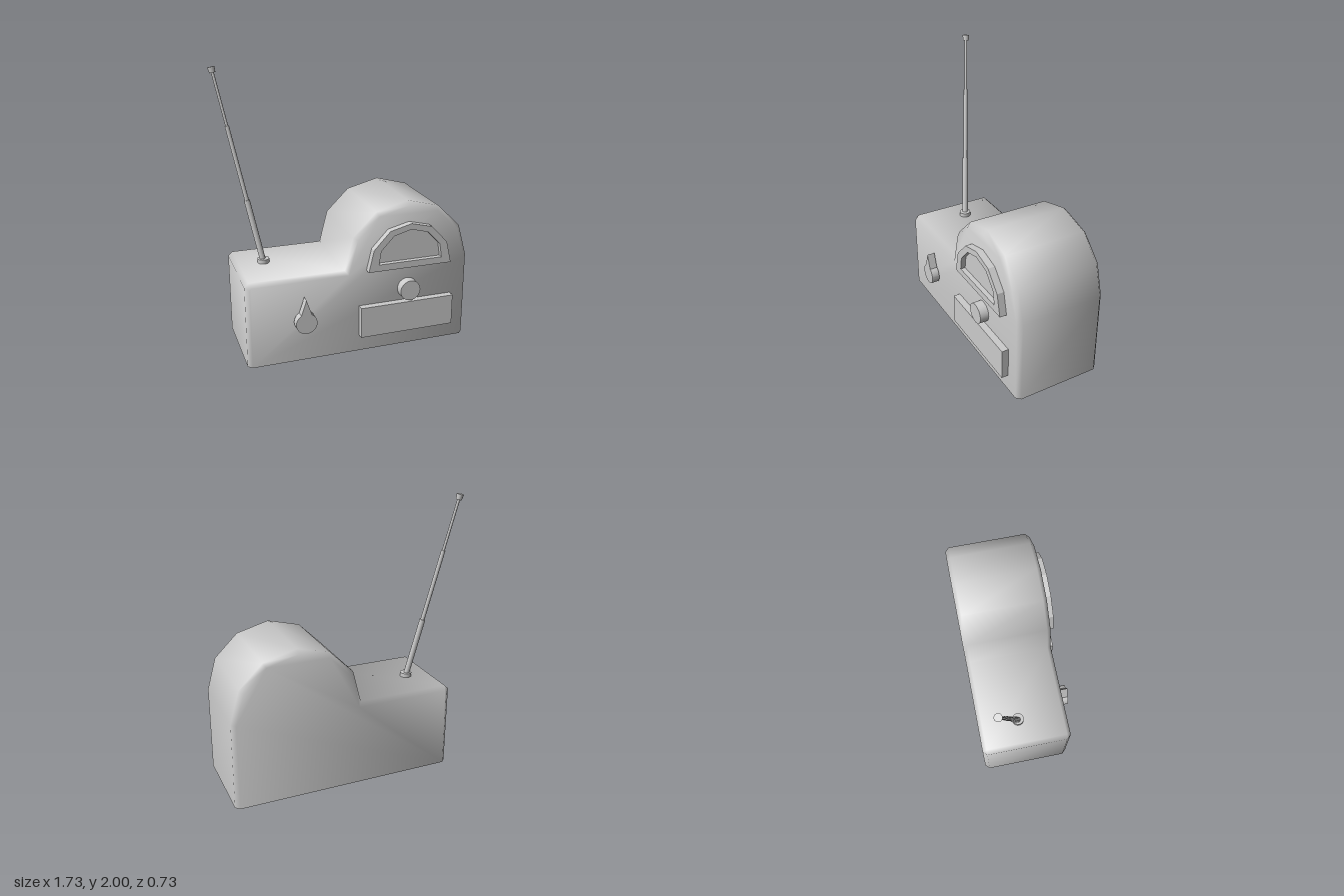
import * as THREE from 'three';
import { toCreasedNormals } from 'three/addons/utils/BufferGeometryUtils.js';

const material = new THREE.MeshStandardMaterial({ color: 0xcccccc });

function add(group, name, geometry, x = 0, y = 0, z = 0) {
  const mesh = new THREE.Mesh(geometry, material);
  mesh.name = name;
  mesh.position.set(x, y, z);
  group.add(mesh);
  return mesh;
}

const shapeOf = (points) => new THREE.Shape(points.map(([x, y]) => new THREE.Vector2(x, y)));
const flat = (shape, depth) => new THREE.ExtrudeGeometry(shape, { depth, bevelEnabled: false, curveSegments: 16 });

// Case: low shoulder plus faceted dome, chamfered all round except at the base
function caseGeometry() {
  const bevel = 0.03;
  const shape = shapeOf([
    [-0.78, -0.1], [0.86, -0.1], [0.86, 0.63], [0.796, 0.862], [0.627, 1.028], [0.392, 1.09],
    [0.156, 1.028], [-0.012, 0.862], [-0.073, 0.625], [-0.75, 0.625], [-0.78, 0.595],
  ]);
  const geometry = new THREE.ExtrudeGeometry(shape, {
    depth: 0.66 - 2 * bevel, bevelSize: bevel, bevelThickness: bevel, bevelOffset: -bevel, bevelSegments: 1,
  });
  geometry.translate(0, 0, -0.365 + bevel);
  // Cut the underside flat on the ground
  const p = geometry.attributes.position;
  for (let i = 0; i < p.count; i++) p.setY(i, Math.max(0, p.getY(i)));
  return toCreasedNormals(geometry, 1.4);
}

// Half-dome outline for the dial, mirrored about x = 0
function arch(half, top) {
  const left = half.map(([x, y]) => [-x, y]).reverse();
  return [...half, [0, top], ...left];
}

// Straight rod between two points
function rod(group, name, a, b, r0, r1 = r0) {
  const dir = b.clone().sub(a);
  const mesh = add(group, name, new THREE.CylinderGeometry(r1, r0, dir.length(), 12));
  mesh.position.copy(a).add(b).multiplyScalar(0.5);
  mesh.quaternion.setFromUnitVectors(new THREE.Vector3(0, 1, 0), dir.normalize());
}

// Disc facing the front
function disc(group, name, radius, x, y, z0, z1) {
  const geometry = new THREE.CylinderGeometry(radius, radius, z1 - z0, 32).rotateX(Math.PI / 2);
  add(group, name, geometry, x, y, (z0 + z1) / 2);
}

export function createModel() {
  const model = new THREE.Group();
  model.name = 'radio';
  add(model, 'case', caseGeometry());

  // Arched dial: raised frame with a recessed face
  const dial = new THREE.Group();
  dial.name = 'dial';
  dial.position.x = 0.39;
  const outer = arch([[0.313, 0.618], [0.276, 0.778], [0.157, 0.905]], 0.945);
  const inner = arch([[0.238, 0.667], [0.222, 0.767], [0.128, 0.868]], 0.902);
  const frame = shapeOf(outer);
  frame.holes.push(shapeOf(inner));
  add(dial, 'dialFrame', flat(frame, 0.065), 0, 0, 0.28);
  add(dial, 'dialFace', flat(shapeOf(inner), 0.03), 0, 0, 0.28);
  model.add(dial);

  // Front panel and tuning knob
  add(model, 'frontPanel', new THREE.BoxGeometry(0.708, 0.228, 0.065), 0.379, 0.239, 0.3125);
  disc(model, 'tuningKnob', 0.075, 0.39, 0.445, 0.28, 0.36);

  // Teardrop pointer knob on a short stem
  const pointer = new THREE.Shape();
  const a = Math.PI / 3;
  pointer.absarc(0, 0, 0.075, Math.PI - a, 2 * Math.PI + a, false);
  pointer.lineTo(0, 0.177);
  pointer.closePath();
  disc(model, 'pointerStem', 0.028, -0.378, 0.31, 0.28, 0.31);
  add(model, 'pointerKnob', toCreasedNormals(flat(pointer, 0.058), 0.5), -0.378, 0.31, 0.306);

  // Telescopic antenna, leaning outwards and back
  const antenna = new THREE.Group();
  antenna.name = 'antenna';
  const base = new THREE.Vector3(-0.573, 0.625, -0.066);
  const tip = new THREE.Vector3(-0.843, 1.995, -0.242);
  const at = (y) => base.clone().lerp(tip, (y - base.y) / (tip.y - base.y));
  add(antenna, 'antennaCollar', new THREE.CylinderGeometry(0.042, 0.042, 0.04, 20), base.x, 0.635, base.z);
  rod(antenna, 'antennaLower', at(0.625), at(1.08), 0.021);
  rod(antenna, 'antennaMiddle', at(1.06), at(1.6), 0.015);
  rod(antenna, 'antennaUpper', at(1.58), at(1.97), 0.01);
  rod(antenna, 'antennaCap', at(1.957), tip, 0.021, 0.025);
  model.add(antenna);

  return model;
}
